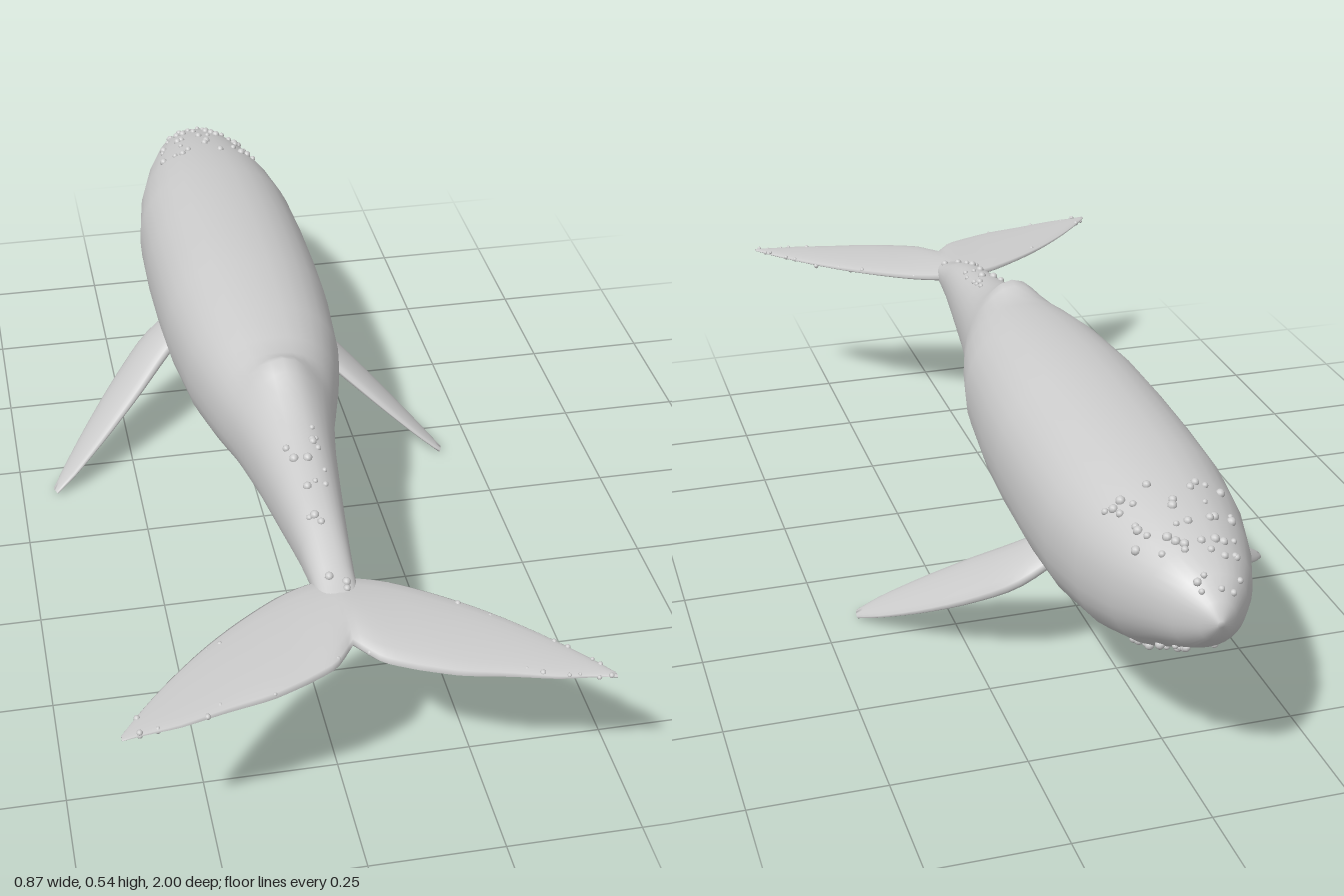
import * as THREE from 'three';

const skin = new THREE.MeshStandardMaterial({ color: 0xcccccc });
skin.name = 'pale grey skin';

// Body stations: z, top y, bottom y, half width, height of dorsal hump
const stations = [
  [-1, 0.381, 0.369, 0.006, 0], [-0.985, 0.41, 0.338, 0.032, 0], [-0.95, 0.442, 0.305, 0.066, 0],
  [-0.9, 0.464, 0.278, 0.096, 0], [-0.82, 0.486, 0.235, 0.128, 0], [-0.72, 0.504, 0.204, 0.156, 0],
  [-0.6, 0.518, 0.187, 0.174, 0], [-0.45, 0.528, 0.182, 0.178, 0], [-0.3, 0.534, 0.188, 0.177, 0],
  [-0.18, 0.536, 0.198, 0.173, 0], [0, 0.528, 0.222, 0.156, 0], [0.1, 0.52, 0.238, 0.134, 0],
  [0.15, 0.513, 0.246, 0.12, 0.005], [0.18, 0.506, 0.252, 0.111, 0.024], [0.2, 0.502, 0.255, 0.105, 0.035],
  [0.225, 0.497, 0.258, 0.099, 0.026], [0.27, 0.489, 0.265, 0.09, 0.012], [0.34, 0.477, 0.277, 0.078, 0.003],
  [0.44, 0.463, 0.294, 0.065, 0], [0.53, 0.45, 0.312, 0.054, 0], [0.6, 0.436, 0.327, 0.046, 0],
  [0.67, 0.41, 0.343, 0.04, 0], [0.72, 0.395, 0.353, 0.037, 0], [0.755, 0.388, 0.36, 0.029, 0],
  [0.772, 0.378, 0.37, 0.006, 0],
];

// Skin over a row of equal rings, closed at both ends
function loft(rings) {
  const n = rings[0].length, pos = [], index = [];
  rings.forEach(r => r.forEach(p => pos.push(p.x, p.y, p.z)));
  for (let i = 0; i < rings.length - 1; i++) {
    for (let j = 0; j < n; j++) {
      const a = i * n + j, b = i * n + (j + 1) % n;
      index.push(a, b, a + n, b, b + n, a + n);
    }
  }
  const last = (rings.length - 1) * n;
  for (let j = 1; j < n - 1; j++) {
    index.push(0, j + 1, j, last, last + j, last + j + 1);
  }
  const g = new THREE.BufferGeometry();
  g.setAttribute('position', new THREE.Float32BufferAttribute(pos, 3));
  g.setIndex(index);
  g.computeVertexNormals();
  return g;
}

function ring(n, fn) {
  return Array.from({ length: n }, (_, j) => fn((j / n) * Math.PI * 2));
}

// Rounded, slightly squared cross-section of the body
function bodyPoint([z, top, bottom, w, hump], a) {
  const soft = v => Math.sign(v) * Math.pow(Math.abs(v), 0.9);
  const s = Math.sin(a);
  const y = (top + bottom) / 2 + soft(s) * (top - bottom) / 2 + hump * Math.pow(Math.max(0, s), 7);
  return new THREE.Vector3(soft(Math.cos(a)) * w, y, z);
}

function stationAt(z) {
  let i = 0;
  while (i < stations.length - 2 && stations[i + 1][0] < z) i++;
  const A = stations[i], B = stations[i + 1], t = (z - A[0]) / (B[0] - A[0]);
  return A.map((v, k) => v + (B[k] - v) * t);
}

// Thin tapered blade: sections are [x, y, leading z, trailing z, half thickness]
function bladeRings(sections, lean) {
  return sections.map(([x, y, zl, zt, h]) => ring(16, a => new THREE.Vector3(
    x + Math.cos(a) * h * lean, y + Math.cos(a) * h, (zl + zt) / 2 + Math.sin(a) * (zt - zl) / 2)));
}

// Smooth a few sections into many
function refine(sections, count) {
  const a = new THREE.CatmullRomCurve3(sections.map(s => new THREE.Vector3(s[0], s[1], s[2])));
  const b = new THREE.CatmullRomCurve3(sections.map(s => new THREE.Vector3(s[3], s[4], 0)));
  return Array.from({ length: count + 1 }, (_, i) => {
    const p = a.getPoint(i / count), q = b.getPoint(i / count);
    return [p.x, p.y, p.z, q.x, q.y];
  });
}

export function createModel() {
  const model = new THREE.Group();
  const add = (name, geometry) => {
    const mesh = new THREE.Mesh(geometry, skin);
    mesh.name = name;
    model.add(mesh);
    return mesh;
  };

  add('body', loft(stations.map(s => ring(32, a => bodyPoint(s, a)))));

  // Pectoral flippers, swept down and back
  const flipper = bladeRings(refine([
    [0.1, 0.25, -0.48, -0.39, 0.016], [0.17, 0.199, -0.463, -0.34, 0.017],
    [0.24, 0.146, -0.405, -0.278, 0.014], [0.32, 0.086, -0.318, -0.215, 0.01],
    [0.39, 0.034, -0.23, -0.167, 0.006], [0.429, 0.005, -0.175, -0.15, 0.004],
  ], 16), 0.7);
  // Shear each section so the leading edge lies lower and further out
  flipper.forEach(r => {
    const mid = r.reduce((m, p) => m + p.z, 0) / r.length;
    r.forEach(p => {
      const d = mid - p.z;
      p.x += d * 0.22;
      p.y = Math.max(0, p.y - d * 0.17);
    });
  });
  add('leftFlipper', loft(flipper));
  add('rightFlipper', loft(flipper.map(r => r.map(p => new THREE.Vector3(-p.x, p.y, p.z))).reverse()));

  // Tail flukes, one blade through the centre with a notch behind
  const half = refine([
    [0, 0.375, 0.665, 0.842, 0.02], [0.04, 0.375, 0.672, 0.895, 0.018], [0.09, 0.375, 0.69, 0.922, 0.015],
    [0.16, 0.375, 0.733, 0.95, 0.012], [0.24, 0.375, 0.795, 0.967, 0.009],
    [0.32, 0.375, 0.873, 0.987, 0.006], [0.38, 0.375, 0.942, 0.994, 0.004], [0.415, 0.375, 0.988, 1, 0.002],
  ], 24);
  const span = [...half.slice(1).reverse().map(([x, ...rest]) => [-x, ...rest]), ...half];
  add('tailFlukes', loft(bladeRings(span, 0)));

  // Barnacles scattered on head, chin, tail stock and fluke edges
  let seed = 7;
  const rand = () => (seed = (seed * 16807) % 2147483647) / 2147483647;
  const spots = [];
  const scatter = (count, z0, z1, angle, spread) => {
    for (let i = 0; i < count; i++) {
      const z = z0 + (z1 - z0) * rand();
      spots.push([bodyPoint(stationAt(z), angle + (rand() - 0.5) * spread), 0.005 + rand() * 0.004]);
    }
  };
  scatter(42, -0.97, -0.71, Math.PI / 2, 1.7);
  scatter(26, -0.93, -0.76, -Math.PI / 2, 1.1);
  scatter(18, 0.33, 0.72, Math.PI / 2, 0.9);
  for (const side of [-1, 1]) {
    for (let i = 0; i < 26; i++) {
      const [x, y, zl, zt] = half[2 + Math.floor(rand() * 22)];
      const inset = rand() * 0.12;
      const z = zl + (zt - zl) * (rand() < 0.5 ? inset + 0.02 : 0.97 - inset);
      spots.push([new THREE.Vector3(side * x, y + (rand() - 0.5) * 0.008, z), 0.003 + rand() * 0.003]);
    }
  }
  const bead = new THREE.SphereGeometry(1, 10, 7);
  const barnacles = new THREE.Group();
  barnacles.name = 'barnacles';
  for (const [p, r] of spots) {
    const b = new THREE.Mesh(bead, skin);
    b.name = 'barnacle';
    b.position.copy(p);
    b.scale.setScalar(r);
    barnacles.add(b);
  }
  model.add(barnacles);
  return model;
}
